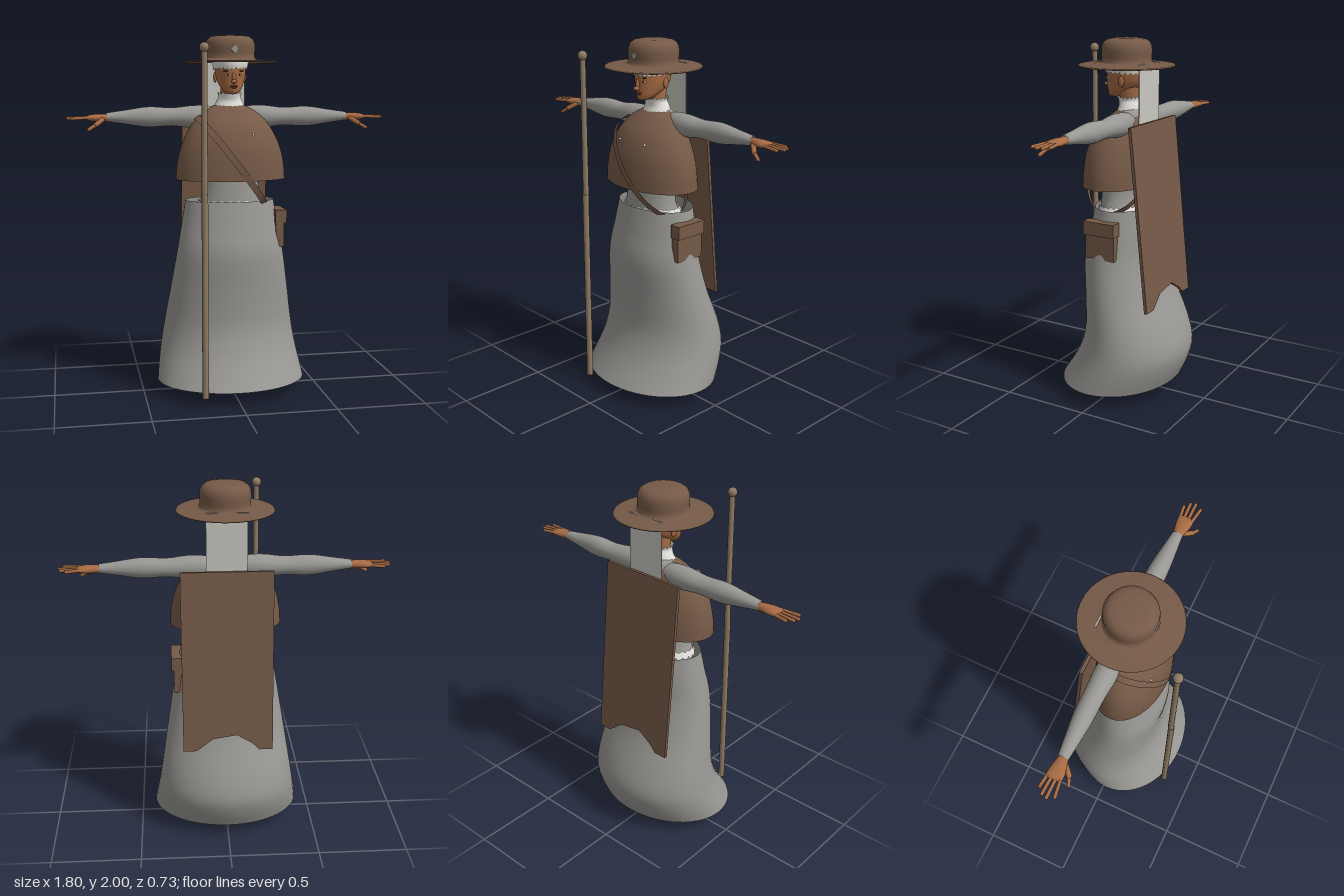
import * as THREE from 'three';

const mat = (name, color) => new THREE.MeshStandardMaterial({ name, color });

// Smooth elliptical tube: rows of [y, half width, front z, back z], low to high.
// jagLow / jagHigh fray the first / last ring.
function loft(rows, { sides = 40, steps = 4, jagLow = 0, jagHigh = 0 } = {}) {
  const V = (x, y) => new THREE.Vector3(x, y, 0);
  const outline = new THREE.CatmullRomCurve3(rows.map(r => V(r[1], r[0])), false, 'catmullrom', 0.5);
  const depth = new THREE.CatmullRomCurve3(rows.map(r => V(r[2], r[3])), false, 'catmullrom', 0.5);
  const n = (rows.length - 1) * steps, pos = [], idx = [];
  for (let j = 0; j <= n; j++) {
    const o = outline.getPoint(j / n), d = depth.getPoint(j / n);
    const jag = j === 0 ? jagLow : j === n ? jagHigh : 0;
    for (let i = 0; i < sides; i++) {
      const a = i / sides * Math.PI * 2;
      pos.push(Math.max(o.x, 0.0005) * Math.cos(a), o.y + (i % 2 ? jag : -jag),
        (d.x + d.y) / 2 + (d.x - d.y) / 2 * Math.sin(a));
      if (j < n) {
        const k = j * sides + i, m = j * sides + (i + 1) % sides;
        idx.push(k, k + sides, m, m, k + sides, m + sides);
      }
    }
  }
  const g = new THREE.BufferGeometry();
  g.setAttribute('position', new THREE.Float32BufferAttribute(pos, 3));
  g.setIndex(idx);
  g.computeVertexNormals();
  return g;
}

// Flat panel with an irregular outline
function panel(points, depth) {
  const shape = new THREE.Shape(points.map(p => new THREE.Vector2(...p)));
  return new THREE.ExtrudeGeometry(shape, { depth, bevelEnabled: false });
}

export function createModel() {
  const model = new THREE.Group();
  const brown = mat('brown leather', 0x765a47);
  const cloth = mat('grey cloth', 0x989793);
  const white = mat('white linen', 0xe2e0da);
  const veilMat = mat('pale veil', 0xc9c8c1);
  const skin = mat('skin', 0xa66b44);
  const wood = mat('staff wood', 0x8f7b64);
  const shoeMat = mat('shoe leather', 0x6b4c38);
  const dark = mat('dark features', 0x2c211b);
  const lipMat = mat('lips', 0x7d4634);
  for (const m of [brown, cloth, white, veilMat]) m.side = THREE.DoubleSide;

  const add = (name, geo, material, parent = model, p = [0, 0, 0]) => {
    const mesh = new THREE.Mesh(geo, material);
    mesh.name = name;
    mesh.position.set(...p);
    parent.add(mesh);
    return mesh;
  };
  const rod = (name, a, b, r, material, parent) => {
    const A = new THREE.Vector3(...a), d = new THREE.Vector3(...b).sub(A);
    const m = add(name, new THREE.CapsuleGeometry(r, d.length(), 4, 8), material, parent);
    m.position.copy(A).addScaledVector(d, 0.5);
    m.quaternion.setFromUnitVectors(new THREE.Vector3(0, 1, 0), d.normalize());
  };

  // Clothing
  add('skirt', loft([
    [0.07, 0.42, 0.355, -0.30], [0.17, 0.405, 0.29, -0.345], [0.27, 0.388, 0.24, -0.365],
    [0.4, 0.367, 0.205, -0.33], [0.6, 0.335, 0.205, -0.245], [0.8, 0.302, 0.215, -0.195],
    [0.95, 0.275, 0.185, -0.185], [1.09, 0.25, 0.155, -0.17]], { sides: 56 }), cloth);
  add('tunicBody', loft([
    [1.03, 0.19, 0.145, -0.11], [1.14, 0.16, 0.135, -0.08], [1.3, 0.16, 0.12, -0.09],
    [1.5, 0.17, 0.07, -0.1], [1.585, 0.13, 0.04, -0.1], [1.63, 0.06, 0.03, -0.08]], { jagLow: 0.015 }), cloth);
  add('tunicHem', loft([[1.05, 0.195, 0.15, -0.115], [1.09, 0.18, 0.145, -0.1]],
    { sides: 48, steps: 1, jagLow: 0.012, jagHigh: 0.006 }), white);
  add('cape', loft([
    [1.21, 0.308, 0.22, -0.17], [1.3, 0.3, 0.215, -0.165], [1.4, 0.275, 0.2, -0.155],
    [1.5, 0.225, 0.16, -0.135], [1.57, 0.165, 0.1, -0.11], [1.615, 0.09, 0.05, -0.08]], { sides: 48 }), brown);
  add('collar', loft([
    [1.605, 0.088, 0.055, -0.085], [1.64, 0.072, 0.045, -0.08], [1.665, 0.062, 0.05, -0.072],
    [1.685, 0.068, 0.055, -0.075]], { sides: 36, jagLow: 0.01, jagHigh: 0.007 }), white);

  // Shoulder strap looping around the body
  const strap = add('shoulderStrap', new THREE.CylinderGeometry(1, 1, 1, 64, 1, true), brown, model, [0, 1.305, 0.03]);
  strap.rotation.z = -0.911;
  strap.scale.set(0.313, 0.036, 0.2);

  // Back board with a torn lower edge
  const board = add('backBoard', panel([[-0.25, 0], [0.25, 0], [0.25, -1.02], [0.175, -1.02], [0.085, -0.95],
    [-0.05, -0.93], [-0.135, -0.98], [-0.175, -1.02], [-0.25, -1.02]], 0.018), brown, model, [0, 1.56, -0.163]);
  board.rotation.x = 0.1;

  // Hip pouch with flap
  const pouch = new THREE.Group();
  pouch.name = 'hipPouch';
  pouch.position.set(0.245, 0, 0);
  pouch.rotation.y = Math.PI / 2;
  model.add(pouch);
  add('pouchBody', panel([[-0.1, 0.825], [-0.045, 0.825], [-0.015, 0.852], [0.002, 0.85], [0.02, 0.822],
    [0.08, 0.822], [0.08, 1.025], [-0.1, 1.025]], 0.048), brown, pouch);
  add('pouchFlap', new THREE.BoxGeometry(0.192, 0.075, 0.064), brown, pouch, [-0.01, 0.9975, 0.029]);

  // Arms, legs and feet, mirrored for each side
  for (const side of [1, -1]) {
    const limb = new THREE.Group();
    limb.name = side > 0 ? 'leftLimbs' : 'rightLimbs';
    limb.scale.x = side;
    model.add(limb);
    const sleeve = add('sleeve', loft([
      [0.06, 0.05, 0, -0.09], [0.13, 0.062, 0.015, -0.1], [0.21, 0.062, 0.022, -0.103], [0.32, 0.05, 0.012, -0.098],
      [0.45, 0.056, 0.01, -0.095], [0.58, 0.038, 0, -0.08], [0.68, 0.024, -0.01, -0.068]], { sides: 28 }),
      cloth, limb, [0, 1.553, 0]);
    sleeve.rotation.z = -Math.PI / 2;
    const palm = add('palm', loft([
      [0.655, 0.018, -0.015, -0.063], [0.7, 0.022, -0.005, -0.068], [0.75, 0.02, 0.008, -0.078],
      [0.79, 0.012, 0.006, -0.078], [0.8, 0.001, -0.02, -0.06]], { sides: 16 }), skin, limb, [0, 1.55, 0]);
    palm.rotation.z = -Math.PI / 2;
    [[-0.068, 0.852, -0.078], [-0.047, 0.882, -0.052], [-0.024, 0.89, -0.024], [-0.002, 0.87, 0.012]]
      .forEach(([z, tip, tz]) => rod('finger', [0.775, 1.552, z], [tip, 1.548, tz], 0.0095, skin, limb));
    rod('thumbBase', [0.705, 1.54, -0.01], [0.74, 1.515, 0.022], 0.014, skin, limb);
    rod('thumbTip', [0.74, 1.515, 0.022], [0.78, 1.49, 0.038], 0.01, skin, limb);

    add('leg', loft([
      [0.06, 0.036, -0.01, -0.09], [0.2, 0.038, -0.01, -0.095], [0.4, 0.055, 0.01, -0.11],
      [0.6, 0.058, 0.03, -0.08], [1.05, 0.085, 0.09, -0.08]], { sides: 20 }), skin, limb, [0.135, 0, 0]);
    add('ankleCuff', loft([[0.1, 0.042, -0.003, -0.1], [0.125, 0.043, -0.003, -0.1]],
      { sides: 24, jagHigh: 0.005 }), white, limb, [0.135, 0, 0]);
    add('shoe', loft([
      [0, 0.001, 0.03, 0.029], [0.001, 0.05, 0.15, -0.1], [0.025, 0.064, 0.17, -0.112], [0.055, 0.055, 0.11, -0.112],
      [0.075, 0.045, 0.03, -0.108], [0.115, 0.04, -0.005, -0.1]], { sides: 24 }), shoeMat, limb, [0.138, 0, 0]);
  }

  // Head and face
  add('neck', loft([[1.58, 0.055, 0.035, -0.08], [1.64, 0.048, 0.035, -0.065], [1.74, 0.05, 0.06, -0.075]]), skin);
  add('head', loft([
    [1.677, 0.002, 0.095, 0.07], [1.685, 0.032, 0.113, 0.035], [1.71, 0.056, 0.12, -0.01], [1.75, 0.074, 0.122, -0.075],
    [1.8, 0.084, 0.124, -0.098], [1.86, 0.085, 0.12, -0.1], [1.92, 0.05, 0.07, -0.06]]), skin);
  const blob = (name, material, p, s) => add(name, new THREE.SphereGeometry(1, 14, 10), material, model, p).scale.set(...s);
  blob('noseBridge', skin, [0, 1.765, 0.122], [0.011, 0.032, 0.014]);
  blob('noseTip', skin, [0, 1.746, 0.132], [0.016, 0.012, 0.018]);
  blob('upperLip', lipMat, [0, 1.722, 0.121], [0.024, 0.005, 0.008]);
  blob('lowerLip', lipMat, [0, 1.714, 0.12], [0.019, 0.005, 0.008]);
  for (const s of [1, -1]) {
    blob('eyeWhite', white, [s * 0.034, 1.783, 0.109], [0.014, 0.006, 0.006]);
    blob('iris', dark, [s * 0.034, 1.783, 0.113], [0.006, 0.006, 0.004]);
    blob('eyebrow', dark, [s * 0.036, 1.803, 0.111], [0.021, 0.004, 0.005]);
    blob('ear', skin, [s * 0.082, 1.77, -0.005], [0.01, 0.03, 0.018]);
  }
  add('linenCap', loft([[1.815, 0.092, 0.132, -0.105], [1.84, 0.098, 0.136, -0.108], [1.87, 0.1, 0.135, -0.108]],
    { sides: 48, jagLow: 0.006 }), white);
  add('veil', new THREE.BoxGeometry(0.22, 0.33, 0.006), veilMat, model, [0, 1.705, -0.13]);

  // Wide-brimmed hat
  const hat = [[0.1, 1.852], [0.262, 1.849], [0.265, 1.853], [0.26, 1.858], [0.2, 1.861], [0.15, 1.868], [0.137, 1.875],
    [0.136, 1.9], [0.138, 1.93], [0.136, 1.955], [0.126, 1.978], [0.105, 1.992], [0.07, 1.998], [0, 2]]
    .map(p => new THREE.Vector2(...p));
  add('hat', new THREE.LatheGeometry(hat, 56), brown, model, [0, 0, 0.008]);
  const badge = add('hatDiamond', new THREE.BoxGeometry(0.034, 0.034, 0.008), cloth, model, [0, 1.92, 0.147]);
  badge.rotation.z = Math.PI / 4;

  // Cape studs
  for (const s of [1, -1]) blob('capeStud', white, [s * 0.1, 1.46, 0.167], [0.007, 0.007, 0.007]);

  // Walking staff
  add('staffLower', new THREE.CylinderGeometry(0.0175, 0.0175, 1.11, 14), wood, model, [-0.195, 0.605, 0.34]);
  add('staffUpper', new THREE.CylinderGeometry(0.0155, 0.0165, 0.76, 14), wood, model, [-0.195, 1.535, 0.337]);
  add('staffKnob', new THREE.SphereGeometry(0.026, 18, 12), wood, model, [-0.195, 1.92, 0.338]);

  return model;
}
